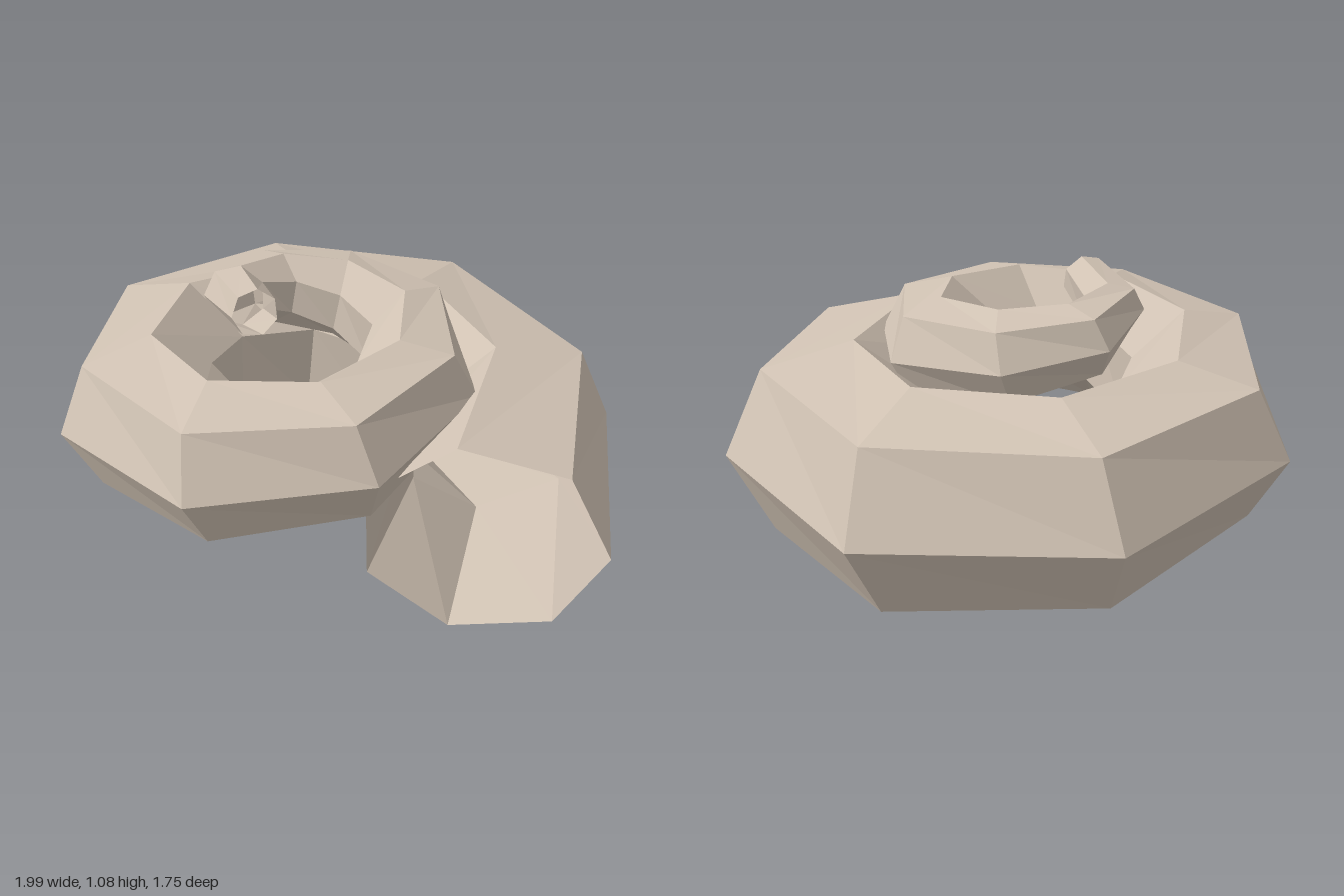
import * as THREE from 'three';

const SIDES = 7;

// Horizontal centres (x, z) of the whorl's rings, from the mouth to the tip
const CENTRES = [
  [0.64, 0.173], [0.38, -0.36], [-0.146, -0.53], [-0.60, -0.267], [-0.71, 0.21],
  [-0.456, 0.576], [-0.045, 0.64], [0.252, 0.40], [0.27, 0.055], [0.065, -0.17],
  [-0.215, -0.15], [-0.375, 0.025], [-0.36, 0.22], [-0.165, 0.32],
];
const RISE = 0.047;
const LAST = CENTRES.length - 1;

// One heptagonal ring, tilted to follow the climb of the spiral
function ring(i) {
  const [x, z] = CENTRES[i];
  const radius = 0.405 - 0.0252 * i;
  const degrees = i === 0 ? -31 : i === LAST ? -603 : -55 - 47.7 * (i - 1);
  const angle = THREE.MathUtils.degToRad(degrees);
  const out = new THREE.Vector3(Math.cos(angle), 0, Math.sin(angle));
  const ahead = new THREE.Vector3(Math.sin(angle), 0, -Math.cos(angle));
  const from = CENTRES[Math.max(i - 1, 0)];
  const to = CENTRES[Math.min(i + 1, LAST)];
  const steps = i === 0 || i === LAST ? 1 : 2;
  const slope = (RISE * steps) / Math.hypot(to[0] - from[0], to[1] - from[1]);
  const up = new THREE.Vector3(0, 1, 0).addScaledVector(ahead, -slope).normalize();
  return Array.from({ length: SIDES }, (_, k) => {
    const t = (k / SIDES) * Math.PI * 2;
    return new THREE.Vector3(x, 0.4 + RISE * i, z)
      .addScaledVector(out, radius * Math.cos(t))
      .addScaledVector(up, radius * Math.sin(t));
  });
}

// Skin the rings into an open, faceted tube
function whorlGeometry() {
  const rings = CENTRES.map((_, i) => ring(i));
  const index = [];
  for (let i = 0; i < LAST; i++) {
    for (let k = 0; k < SIDES; k++) {
      const a = i * SIDES + k;
      const b = i * SIDES + ((k + 1) % SIDES);
      const c = a + SIDES;
      const d = b + SIDES;
      index.push(a, c, b, b, c, d);
    }
  }
  const indexed = new THREE.BufferGeometry().setFromPoints(rings.flat());
  indexed.setIndex(index);
  const geometry = indexed.toNonIndexed();
  geometry.computeVertexNormals();
  return geometry;
}

export function createModel() {
  const group = new THREE.Group();
  group.name = 'spiralShell';
  const shell = new THREE.MeshStandardMaterial({ color: 0xd0c2b3 });
  shell.name = 'shellBeige';
  shell.flatShading = true;
  shell.side = THREE.DoubleSide; // open at both ends
  const whorl = new THREE.Mesh(whorlGeometry(), shell);
  whorl.name = 'shellWhorl';
  group.add(whorl);
  return group;
}
